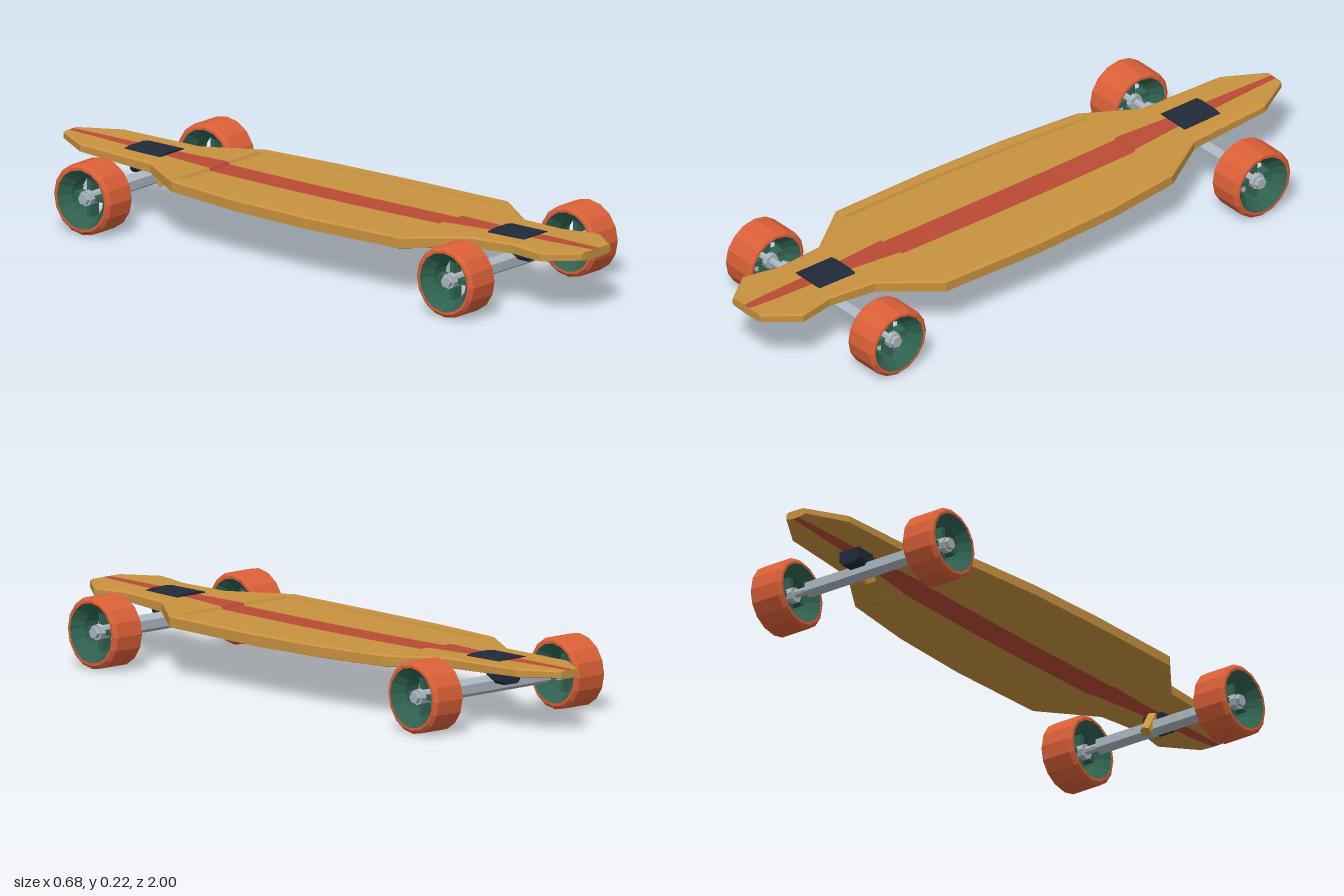
import * as THREE from 'three';

const mat = (name, color, side = THREE.FrontSide) => {
  const m = new THREE.MeshStandardMaterial({ color, side, flatShading: true });
  m.name = name;
  return m;
};

export function createModel() {
  const wood = mat('wood', 0xc8923f);
  const red = mat('stripe red', 0xba4a34);
  const orange = mat('wheel orange', 0xdb6037);
  const green = mat('core green', 0x306250);
  const silver = mat('metal', 0xaab6bf);
  const navy = mat('navy rubber', 0x1f2a3a);
  const gold = mat('brass', 0xd09a40);

  const model = new THREE.Group();
  model.name = 'longboard';
  const add = (parent, name, geometry, material, x = 0, y = 0, z = 0) => {
    const mesh = new THREE.Mesh(geometry, material);
    mesh.name = name;
    mesh.position.set(x, y, z);
    parent.add(mesh);
    return mesh;
  };

  // Deck sections: z, half width, stripe half width, top y, bottom y, panel half width, panel drop
  const rows = [
    [-1, 0.035, 0.010, 0.193, 0.170, 0.018, 0],
    [-0.88, 0.105, 0.016, 0.192, 0.166, 0.05, 0],
    [-0.6, 0.12, 0.030, 0.188, 0.156, 0.07, 0],
    [-0.437, 0.22, 0.044, 0.186, 0.150, 0.187, 0],
    [-0.433, 0.222, 0.044, 0.186, 0.150, 0.187, 0.008],
    [-0.18, 0.25, 0.045, 0.183, 0.146, 0.208, 0.008],
    [0.1, 0.26, 0.045, 0.182, 0.144, 0.22, 0.008],
    [0.451, 0.255, 0.043, 0.184, 0.147, 0.216, 0.008],
    [0.455, 0.253, 0.043, 0.184, 0.147, 0.216, 0],
    [0.62, 0.13, 0.028, 0.187, 0.153, 0.07, 0],
    [0.78, 0.115, 0.023, 0.190, 0.159, 0.06, 0],
    [0.9, 0.14, 0.019, 0.191, 0.163, 0.06, 0],
    [1, 0.065, 0.012, 0.192, 0.167, 0.03, 0],
  ];
  // Closed loop per section: top from right to left side, then back underneath
  const loops = rows.map(([z, w, s, top, bot, p, drop]) => {
    const half = [[w, top - 0.004], [w - 0.01, top], [p, top], [p - 0.003, top - drop], [s, top - drop]];
    const keel = bot - (drop ? 0.006 : 0.002);
    return [
      ...half.map(([x, y]) => [-x, y, z]),
      ...half.slice().reverse().map(([x, y]) => [x, y, z]),
      [w, bot + 0.003, z], [w - 0.01, bot, z], [s, keel, z],
      [-s, keel, z], [-w + 0.01, bot, z], [-w, bot + 0.003, z],
    ];
  });
  const woodTris = [], stripeTris = [];
  const count = loops[0].length;
  for (let i = 0; i < loops.length - 1; i++) {
    for (let k = 0; k < count; k++) {
      const n = (k + 1) % count;
      const a = loops[i][k], b = loops[i + 1][k], c = loops[i + 1][n], d = loops[i][n];
      const target = k === 4 || k === 12 ? stripeTris : woodTris;
      target.push(...a, ...b, ...c, ...a, ...c, ...d);
    }
  }
  // End caps
  const back = loops[0], front = loops[loops.length - 1];
  for (let k = 1; k < count - 1; k++) {
    woodTris.push(...back[0], ...back[k], ...back[k + 1]);
    woodTris.push(...front[0], ...front[k + 1], ...front[k]);
  }
  const surface = (tris) => {
    const g = new THREE.BufferGeometry();
    g.setAttribute('position', new THREE.Float32BufferAttribute(tris, 3));
    g.computeVertexNormals();
    return g;
  };
  add(model, 'deck', surface(woodTris), wood);
  add(model, 'stripe', surface(stripeTris), red);

  // Shared wheel and truck geometry, turned onto the x axis
  const lathe = (pts) =>
    new THREE.LatheGeometry(pts.map(([r, y]) => new THREE.Vector2(r, y)), 16).rotateZ(Math.PI / 2);
  const rod = (r, length, sides, turn = 0) =>
    new THREE.CylinderGeometry(r, r, length, sides).rotateY(turn).rotateZ(Math.PI / 2);
  const tireGeo = lathe([[0.09, -0.057], [0.098, -0.057], [0.108, -0.048],
    [0.108, 0.048], [0.098, 0.057], [0.09, 0.057]]);
  const coreGeo = lathe([[0.06, -0.025], [0.091, -0.056], [0.091, 0.056], [0.06, 0.025], [0.06, -0.025]]);
  const hubGeo = rod(0.024, 0.07, 8);
  const nutGeo = rod(0.018, 0.014, 6);
  const spokeGeo = new THREE.BoxGeometry(0.035, 0.045, 0.016).translate(0, 0.041, 0);
  const hangerGeo = rod(0.027, 0.396, 6, Math.PI / 6);
  const axleGeo = rod(0.012, 0.64, 8);

  const makeWheel = () => {
    const wheel = new THREE.Group();
    wheel.name = 'wheel';
    add(wheel, 'tire', tireGeo, orange);
    add(wheel, 'core', coreGeo, green);
    add(wheel, 'hub', hubGeo, silver);
    for (let i = 0; i < 4; i++) add(wheel, 'spoke', spokeGeo, green).rotation.x = i * Math.PI / 2;
    return wheel;
  };

  // Chamfered riser block under the deck
  const riserShape = new THREE.Shape([[-0.035, 0.165], [-0.035, 0.126], [-0.026, 0.115],
    [0.026, 0.115], [0.035, 0.126], [0.035, 0.165]].map(([x, y]) => new THREE.Vector2(x, y)));
  const riserGeo = new THREE.ExtrudeGeometry(riserShape, { depth: 0.07, bevelEnabled: false });
  // Slightly domed pad on top of the deck
  const padShape = new THREE.Shape([[-0.055, 0.175], [0.055, 0.175], [0.055, 0.191], [0.03, 0.195],
    [-0.03, 0.195], [-0.055, 0.191]].map(([x, y]) => new THREE.Vector2(x, y)));
  const padGeo = new THREE.ExtrudeGeometry(padShape, { depth: 0.136, bevelEnabled: false });

  // Trucks mirror each other: risers outward, kingpins inward
  for (const [name, z, turn] of [['frontTruck', 0.7, 0], ['backTruck', -0.682, Math.PI]]) {
    const truck = new THREE.Group();
    truck.name = name;
    truck.position.z = z;
    truck.rotation.y = turn;
    add(truck, 'hanger', hangerGeo, silver, 0, 0.11, 0);
    add(truck, 'axle', axleGeo, silver, 0, 0.11, 0);
    add(truck, 'riser', riserGeo, navy, 0, 0, -0.005);
    add(truck, 'pad', padGeo, navy, 0, 0, -0.066);
    const pin = add(truck, 'kingpin', new THREE.CylinderGeometry(0.018, 0.018, 0.08, 6), gold, 0, 0.122, -0.017);
    pin.rotation.x = 0.5;
    for (const side of [-1, 1]) {
      const wheel = makeWheel();
      wheel.position.set(side * 0.283, 0.108, 0);
      truck.add(wheel);
      add(truck, 'axleNut', nutGeo, silver, side * 0.324, 0.108, 0);
    }
    model.add(truck);
  }
  return model;
}
